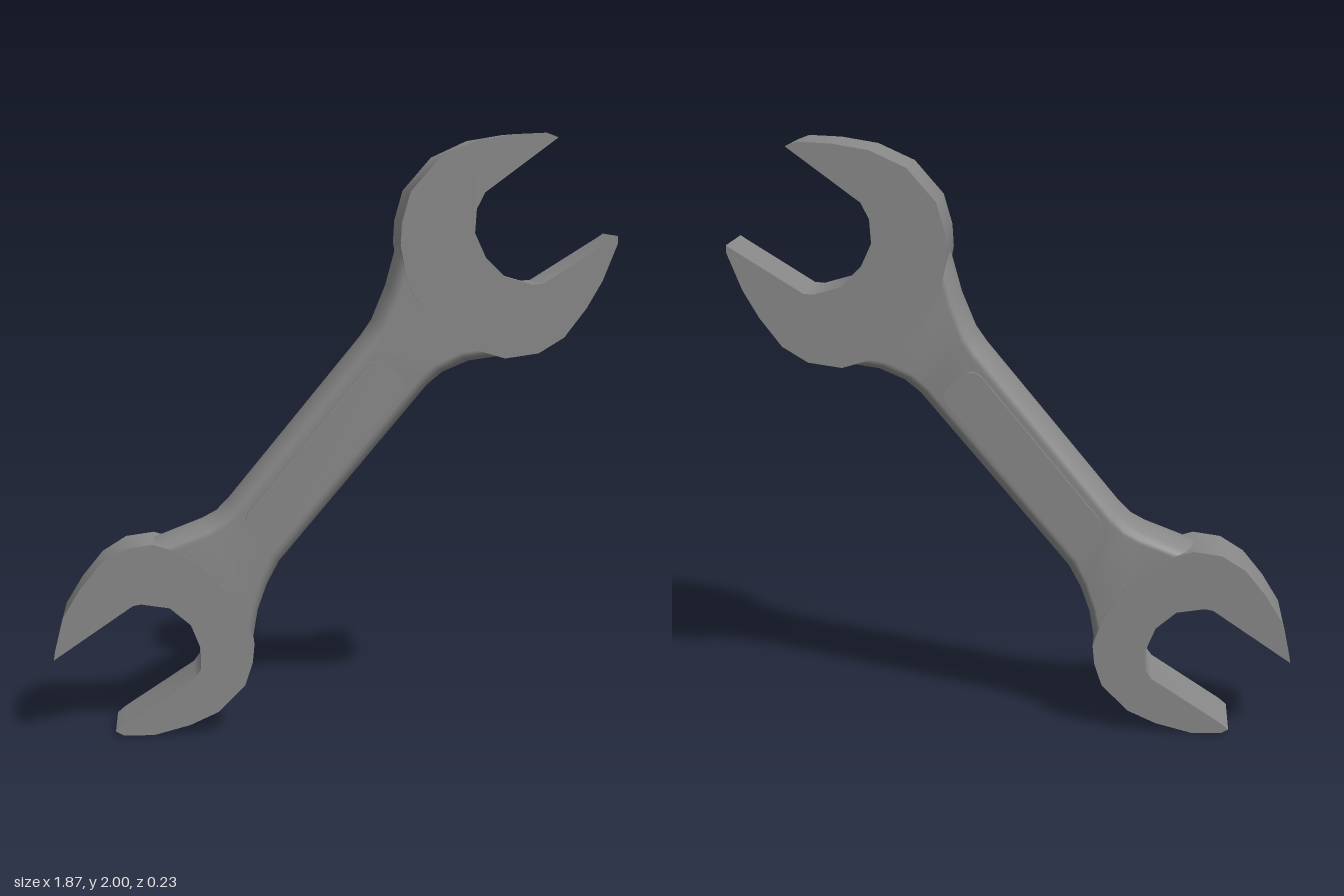
import * as THREE from 'three';
import { toCreasedNormals } from 'three/addons/utils/BufferGeometryUtils.js';

const metal = new THREE.MeshStandardMaterial({ color: 0x888888 });

function addMesh(group, name, geometry) {
  const mesh = new THREE.Mesh(toCreasedNormals(geometry, 0.65), metal);
  mesh.name = name;
  group.add(mesh);
  return mesh;
}

// Plate centred on z = 0
function plate(shape, thickness) {
  const geometry = new THREE.ExtrudeGeometry(shape, { depth: thickness, bevelEnabled: false, curveSegments: 6 });
  return geometry.translate(0, 0, -thickness / 2);
}

const toShape = (points) => new THREE.Shape(points.map(([x, y]) => new THREE.Vector2(x, y)));

// Open jaws: outer rim first, then the mouth
const largeJaw = [
  [0.73, 1.985], [0.69, 2.0], [0.58, 1.995], [0.46, 1.975], [0.34, 1.92], [0.245, 1.81],
  [0.217, 1.71], [0.213, 1.635], [0.237, 1.51], [0.285, 1.43], [0.36, 1.355], [0.45, 1.295],
  [0.563, 1.262], [0.675, 1.278], [0.76, 1.33], [0.833, 1.426], [0.885, 1.516], [0.934, 1.64],
  [0.934, 1.664], [0.913, 1.65], [0.685, 1.508], [0.653, 1.505], [0.558, 1.532],
  [0.495, 1.595], [0.458, 1.675], [0.463, 1.754], [0.49, 1.807],
];
const smallJaw = [
  [-0.939, 0.267], [-0.934, 0.299], [-0.907, 0.41], [-0.849, 0.505], [-0.78, 0.59],
  [-0.7, 0.64], [-0.606, 0.653], [-0.53, 0.63], [-0.44, 0.575], [-0.362, 0.495],
  [-0.305, 0.41], [-0.272, 0.31], [-0.278, 0.245], [-0.304, 0.167], [-0.394, 0.077],
  [-0.489, 0.034], [-0.611, 0.002], [-0.712, 0.004], [-0.738, 0.018], [-0.712, 0.04],
  [-0.473, 0.196], [-0.452, 0.225], [-0.452, 0.299], [-0.484, 0.378], [-0.553, 0.437],
  [-0.648, 0.452], [-0.675, 0.447],
];

// Handle stations from the small jaw to the large one: [upper edge, lower edge]
const stations = [
  [[-0.606, 0.653], [-0.272, 0.31]],
  [[-0.442, 0.717], [-0.257, 0.405]],
  [[-0.394, 0.743], [-0.225, 0.495]],
  [[-0.352, 0.786], [-0.183, 0.574]],
  [[0.093, 1.33], [0.315, 1.167]],
  [[0.13, 1.384], [0.367, 1.21]],
  [[0.177, 1.5], [0.452, 1.246]],
  [[0.214, 1.638], [0.563, 1.262]],
];

// Rounded side of the handle as [inset, z], running into the flat faces at both ends
function sideProfile() {
  const half = 0.107, bulge = 0.046, steps = 12;
  const profile = [[bulge + 0.006, -half]];
  for (let i = 0; i <= steps; i++) {
    const angle = (i / steps - 0.5) * Math.PI;
    profile.push([bulge * (1 - Math.cos(angle)), half * Math.sin(angle)]);
  }
  profile.push([bulge + 0.006, half]);
  return profile;
}

// Flat-faced handle with two rounded long sides, lofted through the stations
function handleGeometry() {
  const profile = sideProfile();
  const positions = [], indices = [];
  for (const [upper, lower] of stations) {
    const a = new THREE.Vector2(...upper), b = new THREE.Vector2(...lower);
    const across = b.clone().sub(a).normalize();
    for (const [edge, sign] of [[a, 1], [b, -1]]) {
      for (const [inset, z] of profile) {
        const p = edge.clone().addScaledVector(across, sign * inset);
        positions.push(p.x, p.y, sign * z);
      }
    }
  }
  const ring = 2 * profile.length;
  for (let s = 0; s < stations.length - 1; s++) {
    for (let i = 0; i < ring; i++) {
      const a = s * ring + i, b = s * ring + (i + 1) % ring;
      indices.push(a, b, b + ring, a, b + ring, a + ring);
    }
  }
  const geometry = new THREE.BufferGeometry();
  geometry.setAttribute('position', new THREE.Float32BufferAttribute(positions, 3));
  geometry.setIndex(indices);
  return geometry;
}

// Rounded rectangle centred on the origin
function roundedRect(length, width, r) {
  const x = length / 2, y = width / 2, shape = new THREE.Shape();
  shape.absarc(x - r, y - r, r, 0, Math.PI / 2);
  shape.absarc(r - x, y - r, r, Math.PI / 2, Math.PI);
  shape.absarc(r - x, r - y, r, Math.PI, Math.PI * 1.5);
  shape.absarc(x - r, r - y, r, Math.PI * 1.5, Math.PI * 2);
  return shape;
}

export function createModel() {
  const group = new THREE.Group();
  group.name = 'openEndedWrench';

  addMesh(group, 'largeJaw', plate(toShape(largeJaw), 0.222));
  addMesh(group, 'smallJaw', plate(toShape(smallJaw), 0.222));
  addMesh(group, 'handle', handleGeometry());

  // Raised panel showing on both faces of the handle
  const panel = addMesh(group, 'gripPanel', plate(roundedRect(0.7, 0.148, 0.045), 0.234));
  panel.position.set(-0.035, 0.955, 0);
  panel.rotation.z = 0.885;

  return group;
}
